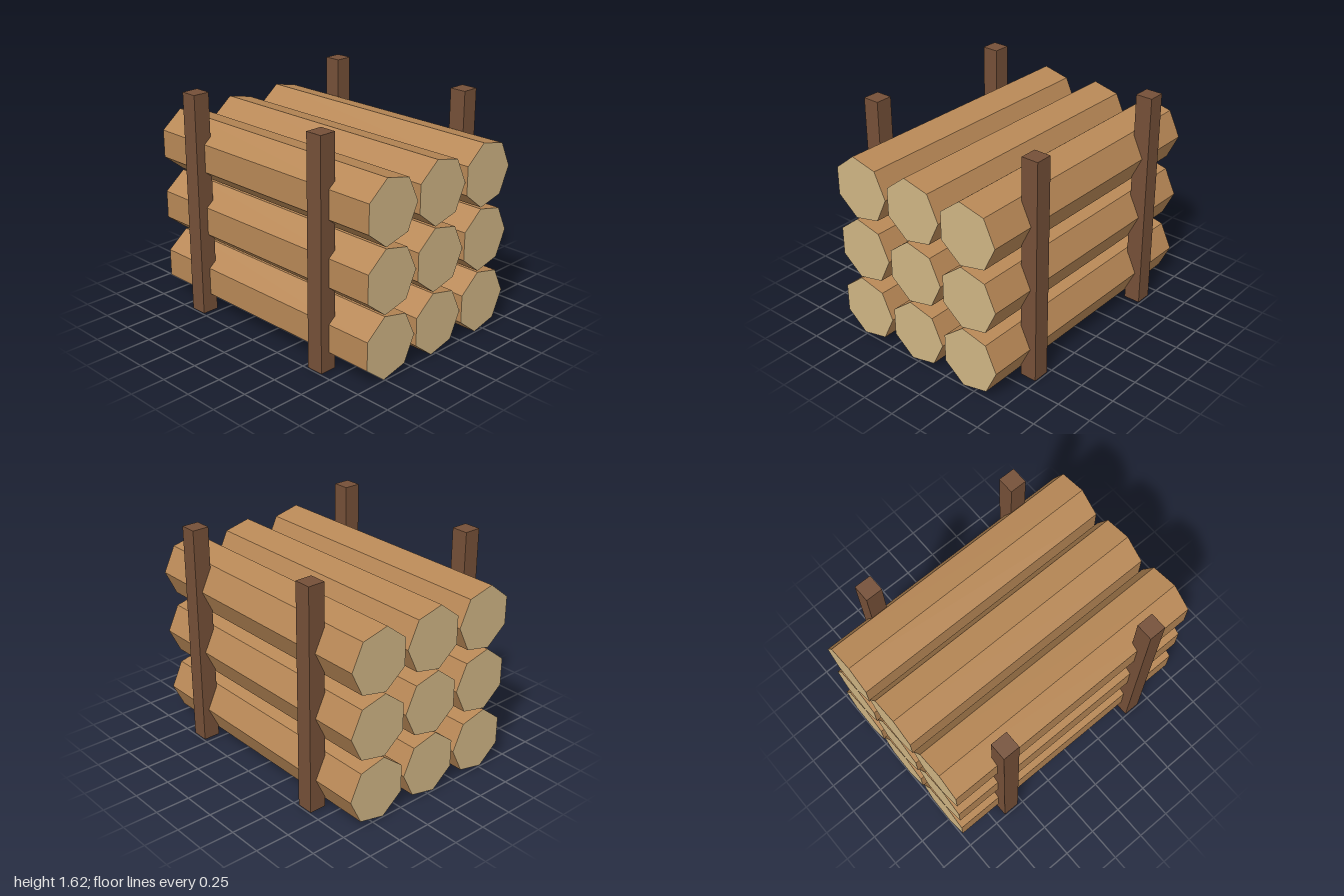
import * as THREE from 'three';

const bark = new THREE.MeshStandardMaterial({ name: 'bark', color: 0xb88856, flatShading: true });
const cutWood = new THREE.MeshStandardMaterial({ name: 'cut wood', color: 0xd0b584, flatShading: true });
const postWood = new THREE.MeshStandardMaterial({ name: 'post wood', color: 0x755038, flatShading: true });

export function createModel() {
  const model = new THREE.Group();
  model.name = 'logRack';

  // Seven-sided logs lying along x, stacked three by three, one corner pointing back
  const radius = 0.2308, spacing = 0.4615;
  const logGeometry = new THREE.CylinderGeometry(radius, radius, 2, 7, 1, false, Math.PI);
  logGeometry.rotateZ(Math.PI / 2);
  for (let row = 0; row < 3; row++) {
    for (let column = -1; column <= 1; column++) {
      const log = new THREE.Mesh(logGeometry, [bark, cutWood, cutWood]);
      log.name = 'log';
      log.position.set(0, 0.2325 + row * spacing, column * spacing);
      model.add(log);
    }
  }

  // Four square upright posts holding the stack
  const postHeight = 1.615;
  const postGeometry = new THREE.BoxGeometry(0.123, postHeight, 0.123);
  for (const x of [-0.6, 0.6]) {
    for (const z of [-0.677, 0.677]) {
      const post = new THREE.Mesh(postGeometry, postWood);
      post.name = z > 0 ? 'frontPost' : 'backPost';
      post.position.set(x, postHeight / 2, z);
      model.add(post);
    }
  }

  return model;
}
